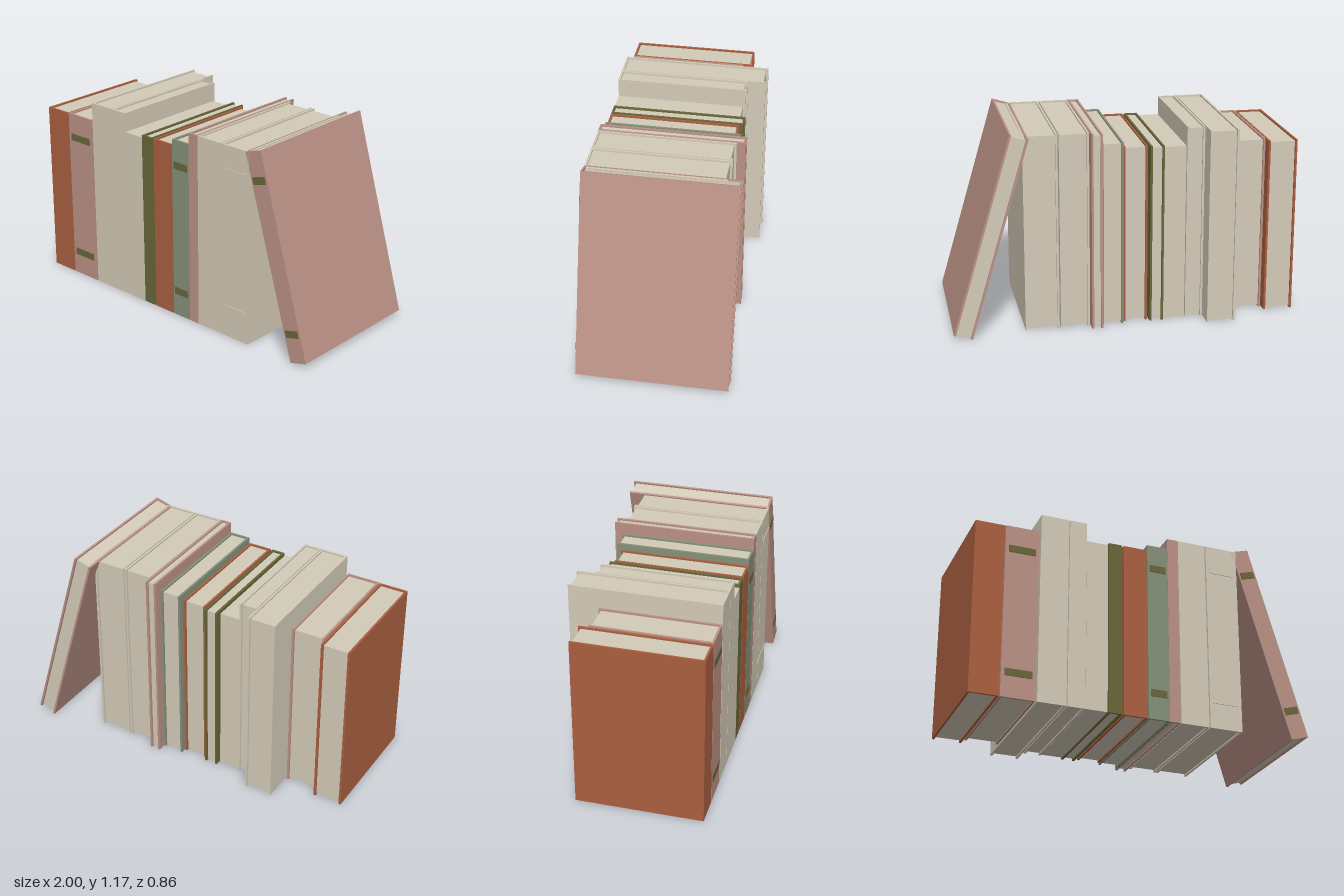
import * as THREE from 'three';

const COLORS = { rust: 0xab6041, pink: 0xbb9286, cream: 0xd4cbb8, olive: 0x68673a, sage: 0x86917a };
const FRONT = 0.427; // z of all spines
const T = 0.012;     // board thickness
const INSET = 0.01;  // how far the pages sit inside the boards

export function createModel() {
  const group = new THREE.Group();
  group.name = 'bookRow';

  const mats = {};
  for (const [name, color] of Object.entries(COLORS)) {
    mats[name] = new THREE.MeshStandardMaterial({ color });
    mats[name].name = name;
  }

  function box(parent, name, mat, x0, x1, y0, y1, z0, z1) {
    const mesh = new THREE.Mesh(new THREE.BoxGeometry(x1 - x0, y1 - y0, z1 - z0), mats[mat]);
    mesh.position.set((x0 + x1) / 2, (y0 + y1) / 2, (z0 + z1) / 2);
    mesh.name = name;
    parent.add(mesh);
  }

  // A book standing at local x = 0 with two boards, a spine, pages and spine bands
  function book(width, height, back, mat, bands = [], bandMat = 'olive') {
    const b = new THREE.Group();
    const w = width / 2;
    box(b, 'leftBoard', mat, w - T, w, 0, height, back, FRONT);
    box(b, 'rightBoard', mat, -w, -w + T, 0, height, back, FRONT);
    box(b, 'spine', mat, -w + T, w - T, 0, height, FRONT - T, FRONT);
    box(b, 'pages', 'cream', -w + T, w - T, INSET, height - INSET, back + 0.013, FRONT - T);
    for (const y of bands) {
      box(b, 'spineBand', bandMat, -w * 0.79, w * 0.79, y - 0.021, y + 0.021, FRONT, FRONT + 0.004);
    }
    group.add(b);
    return b;
  }

  // Upright books: x start, x end, height, back z, cover colour, band heights, band colour
  const row = [
    [-1, -0.83, 1.027, -0.303, 'rust'],
    [-0.825, -0.63, 1.03, -0.253, 'pink', [0.145, 0.888]],
    [-0.62, -0.455, 1.14, -0.43, 'cream'],
    [-0.45, -0.348, 1.14, -0.328, 'cream'],
    [-0.125, 0.015, 1.042, -0.32, 'rust'],
    [-0.215, -0.135, 1.042, -0.345, 'olive'],
    [0.02, 0.145, 1.077, -0.35, 'sage', [0.155, 0.928]],
    [0.146, 0.21, 1.143, -0.398, 'pink'],
    [0.214, 0.383, 1.143, -0.35, 'cream'],
    [0.39, 0.585, 1.143, -0.35, 'cream', [0.17, 0.99], 'cream'],
  ];
  row.forEach(([x0, x1, h, back, mat, bands, bandMat], i) => {
    const b = book(x1 - x0, h, back, mat, bands, bandMat);
    b.position.x = (x0 + x1) / 2;
    b.name = `uprightBook${i + 1}`;
  });

  // Plain closed volume without overhanging boards
  box(group, 'plainBook', 'cream', -0.347, -0.22, 0, 1.027, -0.313, FRONT);

  // Book leaning against the end of the row
  const leaning = book(0.11, 1.188, -0.431, 'pink', [0.167, 1.026]);
  leaning.name = 'leaningBook';
  leaning.position.set(0.946, 0.016, 0);
  leaning.rotation.z = 0.286;

  return group;
}
